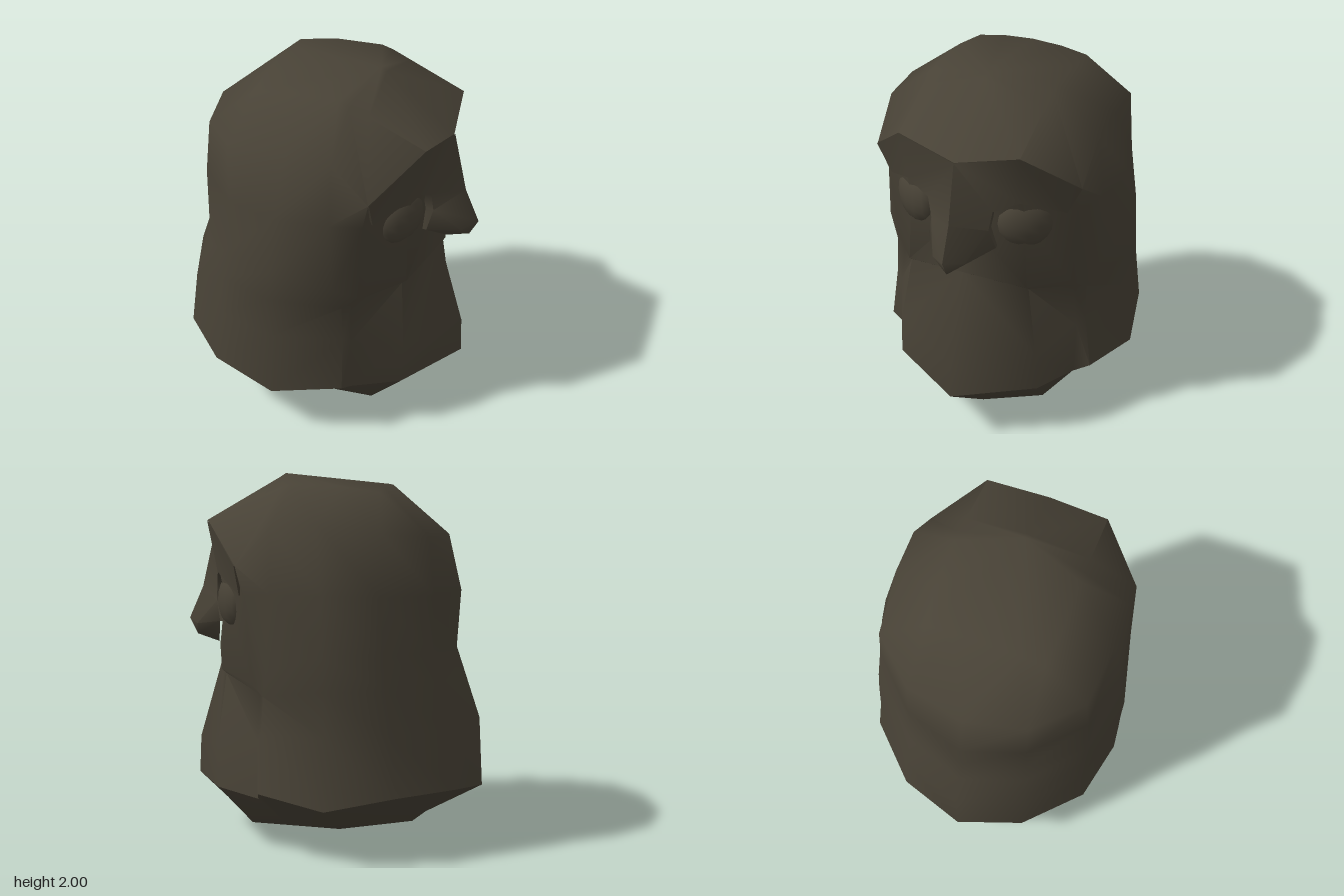
import * as THREE from 'three';
import { toCreasedNormals } from 'three/addons/utils/BufferGeometryUtils.js';

// Triangles (lists of [x,y,z] corners) to a geometry, smooth below the crease angle
function build(tris, crease) {
  const g = new THREE.BufferGeometry();
  g.setAttribute('position', new THREE.Float32BufferAttribute(tris.flat(2), 3));
  return toCreasedNormals(g, crease);
}
const flip = ([x, y, z]) => [x, y, -z];
const mirrored = (tris) => [...tris, ...tris.map(([a, b, c]) => [flip(a), flip(c), flip(b)])];

// Skin between neighbouring half rings, from the middle of the back to the middle of the front
function loft(rows) {
  const tris = [];
  for (let i = 0; i < rows.length - 1; i++) {
    for (let j = 0; j < rows[i].length - 1; j++) {
      const a = rows[i][j], b = rows[i][j + 1], c = rows[i + 1][j + 1], d = rows[i + 1][j];
      tris.push([a, b, c], [a, c, d]);
    }
  }
  return tris;
}

export function createModel() {
  const group = new THREE.Group();
  const stone = new THREE.MeshStandardMaterial({ color: 0x484236 });
  stone.name = 'dark stone';
  const add = (name, geometry) => {
    const m = new THREE.Mesh(geometry, stone);
    m.name = name;
    group.add(m);
    return m;
  };

  // Half rings of the body, bottom to top
  const base = [[-.5, .12, 0], [-.47, .13, .2], [-.3, .15, .36], [-.04, .14, .41], [.18, .135, .4], [.38, .125, .37], [.5, .08, .06], [.5, .08, 0]];
  const rim = [[-.83, .3, 0], [-.72, .36, .36], [-.44, .37, .64], [-.08, .3, .715], [.29, .35, .61], [.31, .3, .52], [.56, .325, .41], [.785, .3, 0]];
  const belly = [[-.81, .68, 0], [-.68, .68, .35], [-.41, .68, .615], [-.08, .68, .71], [.28, .66, .57], [.31, .62, .53], [.565, .55, .4], [.775, .51, 0]];
  const neck = [[-.73, .92, 0], [-.615, .92, .335], [-.39, .92, .61], [-.08, .92, .705], [.27, .86, .565], [.3, .86, .5], [.525, .94, .34], [.625, 1.02, 0]];
  const jaw = [[-.68, 1.07, 0], [-.59, 1.08, .33], [-.37, 1.09, .605], [-.07, 1.1, .705], [.24, 1.0, .62], [.34, .91, .51], [.55, .96, .34], [.655, 1.04, 0]];
  const face = [[-.7, 1.38, 0], [-.59, 1.38, .325], [-.345, 1.39, .575], [-.06, 1.4, .66], [.22, 1.4, .62], [.37, 1.38, .54], [.535, 1.36, .32], [.62, 1.36, 0]];
  const forehead = [[-.63, 1.68, 0], [-.56, 1.68, .32], [-.35, 1.71, .55], [-.02, 1.76, .585], [.22, 1.74, .585], [.41, 1.54, .575], [.62, 1.76, .33], [.67, 1.69, 0]];
  const crown = [[-.3, 1.945, 0], [-.3, 1.935, .17], [-.3, 1.91, .31], [-.1, 1.94, .33], [.16, 1.95, .33], [.22, 1.93, .335], [.32, 1.89, .33], [.3, 1.98, 0]];
  const top = crown.map(() => [.27, 2, 0]);
  const foot = base.map(() => [-.03, 0, 0]);

  add('body', build(mirrored(loft([rim, belly, neck, jaw, face, forehead, crown, top])), 1));
  add('underside', build(mirrored(loft([foot, base, rim])), 1));

  // Brow and beak, one raised piece
  const A = [.675, 1.69, 0], B = [.625, 1.76, .33], C = [.415, 1.54, .577], D = [.41, 1.38, .5];
  const E = [.575, 1.48, .31], F = [.615, 1.42, .18], G = [.625, 1.31, .16], H = [.6, 1.2, .19];
  const ridge = [.75, 1.37, 0], tip = [.83, 1.19, 0], under = [.785, 1.1, 0], chin = [.66, 1.06, 0], side = [.76, 1.17, .09];
  const brow = [
    [B, C, D], [B, D, E], [A, B, E], [A, E, F], [A, F, ridge], [ridge, F, G], [ridge, G, tip],
    [tip, G, side], [G, H, side], [tip, side, under], [H, under, side], [H, chin, under],
  ];
  // Lower rim walls running back into the head
  const edge = [C, D, E, F, G, H];
  const back = edge.map(([x, y, z]) => [x - .1, y, z * .94]);
  for (let i = 0; i < edge.length - 1; i++) {
    brow.push([edge[i], back[i], back[i + 1]], [edge[i], back[i + 1], edge[i + 1]]);
  }
  add('browAndBeak', build(mirrored(brow), 1));

  // Eyes, shallow bulges under the brow
  for (const s of [1, -1]) {
    const eye = add(s > 0 ? 'leftEye' : 'rightEye', new THREE.SphereGeometry(.15, 14, 10));
    eye.position.set(.485, 1.33, s * .305);
    eye.rotation.y = -s * .55;
    eye.scale.set(.55, 1, 1);
  }
  return group;
}
